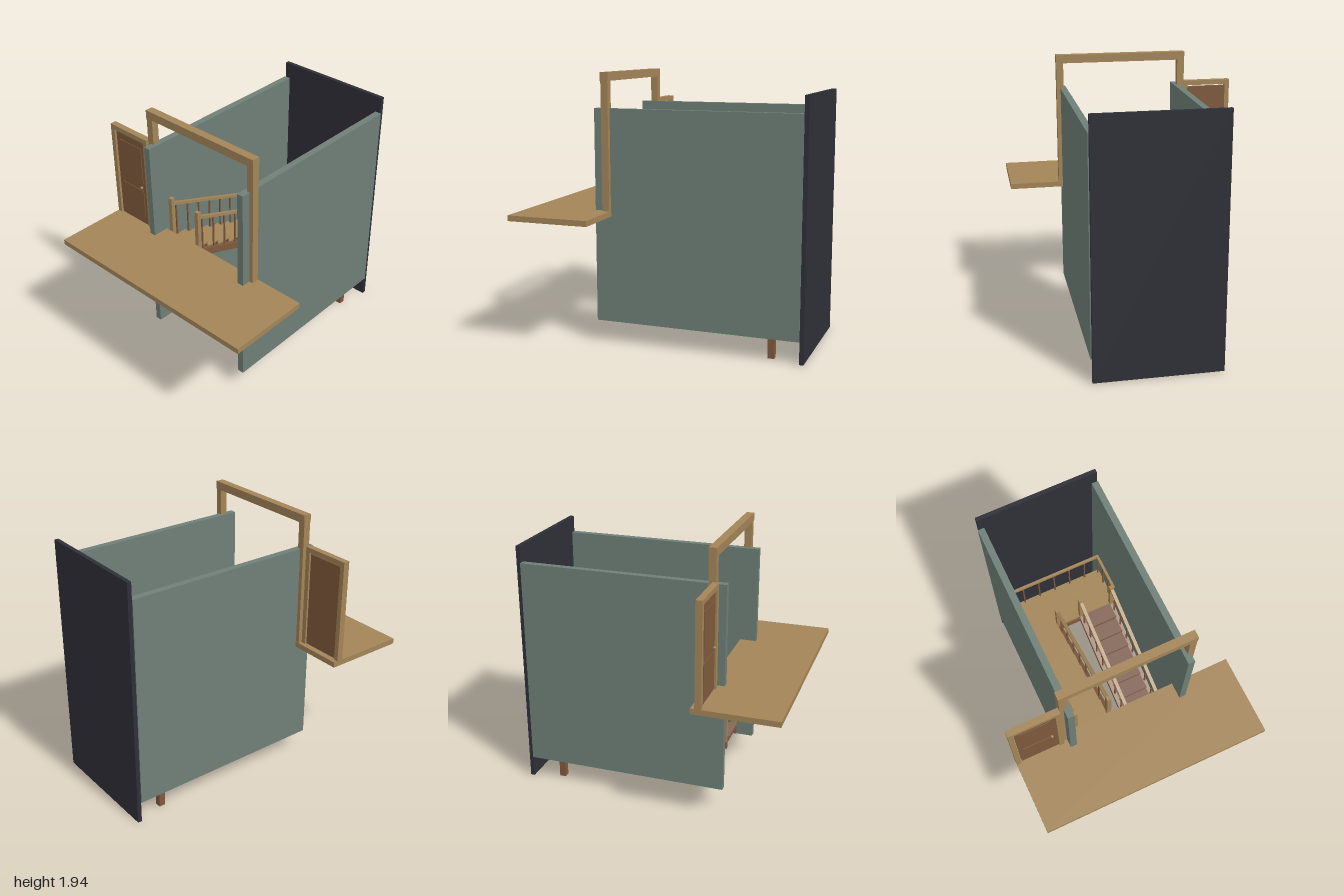
import * as THREE from 'three';

const mat = (name, color) => {
  const m = new THREE.MeshStandardMaterial({ color });
  m.name = name;
  return m;
};

export function createModel() {
  const oak = mat('oak', 0xa38558);
  const brown = mat('brown wood', 0x7f5a3c);
  const clay = mat('tread brown', 0x85685a);
  const sage = mat('sage wall', 0x6f7f77);
  const slate = mat('slate wall', 0x2f2f38);
  const model = new THREE.Group();

  const add = (parent, name, geo, material) => {
    const mesh = new THREE.Mesh(geo, material);
    mesh.name = name;
    parent.add(mesh);
    return mesh;
  };
  // Box given by its limits on each axis
  const box = (parent, name, m, x0, x1, y0, y1, z0, z1) => {
    const g = new THREE.BoxGeometry(x1 - x0, y1 - y0, z1 - z0);
    g.translate((x0 + x1) / 2, (y0 + y1) / 2, (z0 + z1) / 2);
    return add(parent, name, g, m);
  };
  // Sloping bar along z with upright ends; y0 and y1 are its lower edge
  const slope = (parent, name, m, x, w, z0, y0, z1, y1, h) => {
    const s = new THREE.Shape([[z0, y0], [z1, y1], [z1, y1 + h], [z0, y0 + h]]
      .map(p => new THREE.Vector2(...p)));
    const g = new THREE.ExtrudeGeometry(s, { depth: w, bevelEnabled: false });
    g.rotateY(-Math.PI / 2).translate(x + w / 2, 0, 0);
    return add(parent, name, g, m);
  };
  const group = name => {
    const g = new THREE.Group();
    g.name = name;
    model.add(g);
    return g;
  };

  // Shaft walls and upper floor
  box(model, 'backWall', slate, -0.45, 0.45, 0, 1.81, -1, -0.97);
  for (const s of [-1, 1]) {
    box(model, 'sideWall', sage, s * 0.433 - 0.024, s * 0.433 + 0.024, 0.16, 1.69, -0.97, 0.52);
  }
  box(model, 'upperFloor', oak, -0.855, 0.855, 0.93, 0.97, 0.4, 1);

  // Wide opening frame
  const opening = group('openingFrame');
  for (const s of [-1, 1]) {
    box(opening, 'jamb', oak, s * 0.46 - 0.026, s * 0.46 + 0.026, 0.97, 1.88, 0.402, 0.455);
  }
  box(opening, 'lintel', oak, -0.487, 0.487, 1.88, 1.94, 0.4, 0.458);

  // Panelled door and its frame
  const door = group('door');
  box(door, 'doorJamb', oak, -0.855, -0.82, 0.97, 1.675, 0.43, 0.476);
  box(door, 'doorJamb', oak, -0.523, -0.487, 0.97, 1.675, 0.43, 0.476);
  box(door, 'doorHead', oak, -0.855, -0.487, 1.675, 1.71, 0.43, 0.476);
  box(door, 'doorSlab', brown, -0.812, -0.525, 0.972, 1.663, 0.442, 0.464);
  for (const [y0, y1] of [[1.04, 1.26], [1.32, 1.61]]) {
    box(door, 'doorPanel', brown, -0.78, -0.56, y0, y1, 0.464, 0.469);
  }
  const knob = add(door, 'doorKnob', new THREE.SphereGeometry(0.011, 12, 8), oak);
  knob.position.set(-0.568, 1.29, 0.476);

  // Half landing on two posts
  const landing = group('landing');
  box(landing, 'landingDeck', oak, -0.395, 0.39, 0.585, 0.608, -0.82, -0.51);
  box(landing, 'landingFrame', brown, -0.385, 0.38, 0.53, 0.585, -0.805, -0.502);
  for (const s of [-1, 1]) {
    box(landing, 'landingPost', brown, s * 0.37 - 0.023, s * 0.37 + 0.023, 0, 0.53, -0.782, -0.735);
    box(landing, 'sideRail', oak, s * 0.375 - 0.01, s * 0.375 + 0.01, 0.865, 0.885, -0.81, -0.51);
    for (const z of [-0.8, -0.7, -0.6]) {
      box(landing, 'baluster', brown, s * 0.375 - 0.005, s * 0.375 + 0.005, 0.608, 0.865, z - 0.005, z + 0.005);
    }
  }
  box(landing, 'backRail', oak, -0.385, 0.385, 0.865, 0.885, -0.815, -0.795);
  for (let i = -2; i <= 2; i++) {
    box(landing, 'baluster', brown, i * 0.13 - 0.005, i * 0.13 + 0.005, 0.608, 0.865, -0.81, -0.8);
  }

  // One flight: yBack and yFront are the walking levels at its two ends
  const zBack = -0.51, zFront = 0.4, steps = 8, run = (zFront - zBack) / steps;
  const flight = (name, xs, yBack, yFront, treadMat) => {
    const g = group(name);
    const rise = (yFront - yBack) / steps;
    const up = rise > 0;
    const [xa, xb] = [xs[0] + 0.014, xs[1] - 0.014];
    for (let i = 0; i < steps; i++) {
      const z = zBack + i * run;
      const top = up ? yBack + (i + 1) * rise : yBack + i * rise;
      const zr = up ? z : z + run;
      box(g, 'tread', treadMat, xa, xb, top - 0.012, top, z - (up ? 0.01 : 0), z + run + (up ? 0 : 0.01));
      box(g, 'riser', brown, xa, xb, top - Math.abs(rise), top - 0.012, zr - 0.004, zr + 0.004);
    }
    for (const x of xs) {
      slope(g, 'stringer', brown, x, 0.034, zBack, yBack - 0.055, zFront, yFront - 0.05, 0.055);
      slope(g, 'handrail', oak, x, 0.026, zBack, yBack + 0.25, zFront, yFront + 0.27, 0.022);
      box(g, 'landingNewel', oak, x - 0.016, x + 0.016, 0.605, 0.89, -0.532, -0.5);
      box(g, 'endNewel', oak, x - 0.016, x + 0.016, yFront - 0.005, yFront + 0.32, 0.367, 0.399);
      for (let i = 0; i < steps; i++) {
        const z = zBack + (i + 0.5) * run;
        const y = yBack + (i + 0.5) * rise;
        box(g, 'baluster', brown, x - 0.005, x + 0.005, y - 0.01, y + 0.265, z - 0.005, z + 0.005);
      }
    }
  };
  flight('upperFlight', [-0.36, -0.098], 0.605, 0.93, oak);
  flight('lowerFlight', [0.096, 0.358], 0.605, 0.24, clay);

  return model;
}
